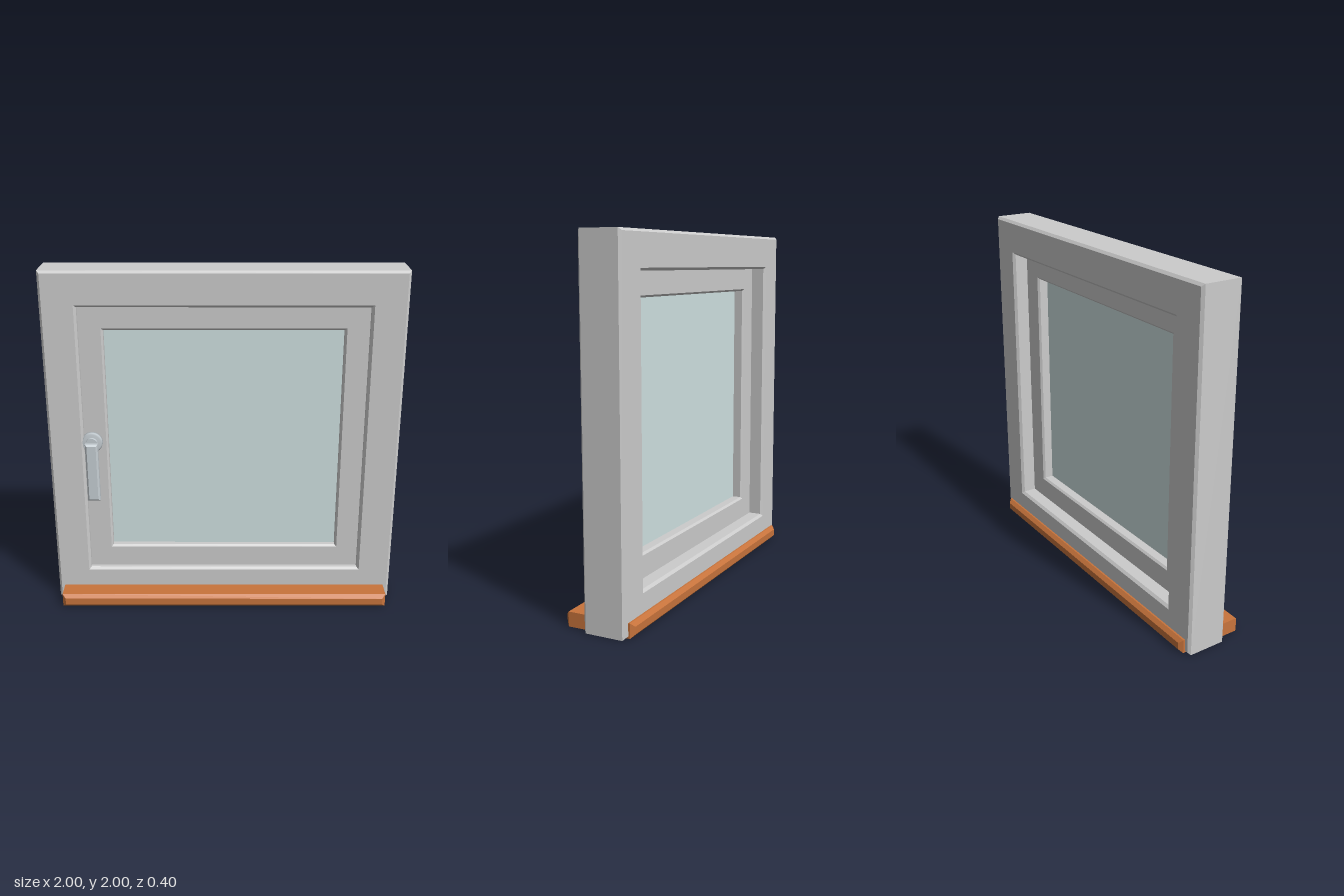
import * as THREE from 'three';

const grey = new THREE.MeshStandardMaterial({ color: 0xcccccc });
const glassMat = new THREE.MeshStandardMaterial({ color: 0xd0e2e2 });
const metal = new THREE.MeshStandardMaterial({ color: 0xc6ced3 });
const wood = new THREE.MeshStandardMaterial({ color: 0xc8743c });

// Rectangle outline centred on x = 0
function rect(Type, halfW, y0, y1) {
  return new Type([[-halfW, y0], [halfW, y0], [halfW, y1], [-halfW, y1]]
    .map(([x, y]) => new THREE.Vector2(x, y)));
}

// Panel from z0 to z1 with chamfered front and back edges, inside its outline
function panel(name, material, shape, z0, z1, bevel) {
  const geometry = new THREE.ExtrudeGeometry(shape, {
    depth: z1 - z0 - 2 * bevel,
    bevelEnabled: bevel > 0,
    bevelThickness: bevel,
    bevelSize: bevel,
    bevelOffset: -bevel,
    bevelSegments: 1,
  });
  geometry.translate(0, 0, z0 + bevel);
  const mesh = new THREE.Mesh(geometry, material);
  mesh.name = name;
  return mesh;
}

export function createModel() {
  const model = new THREE.Group();
  model.name = 'window';

  // Outer frame
  const frame = rect(THREE.Shape, 1, 0, 2);
  frame.holes.push(rect(THREE.Path, 0.8, 0.2, 1.8));
  model.add(panel('outerFrame', grey, frame, -0.17, 0.07, 0.014));

  // Sash, recessed in the frame, its rim let into the frame
  const sash = rect(THREE.Shape, 0.82, 0.18, 1.82);
  sash.holes.push(rect(THREE.Path, 0.665, 0.335, 1.665));
  model.add(panel('sash', grey, sash, -0.08, 0.035, 0.011));

  // Glass pane
  model.add(panel('glass', glassMat, rect(THREE.Shape, 0.675, 0.325, 1.675), -0.018, -0.005, 0));

  // Sill running through under the frame
  model.add(panel('sill', wood, rect(THREE.Shape, 0.965, 0.002, 0.082), -0.2, 0.2, 0.02));

  // Handle: round rosette and hanging lever
  const handle = new THREE.Group();
  handle.name = 'handle';
  handle.position.set(-0.755, 1.008, 0);
  const profile = [[0, 0.02], [0.06, 0.02], [0.06, 0.056], [0.052, 0.064], [0, 0.064]]
    .map(([r, z]) => new THREE.Vector2(r, z));
  const rosetteGeometry = new THREE.LatheGeometry(profile, 32).rotateX(Math.PI / 2);
  const rosette = new THREE.Mesh(rosetteGeometry, metal);
  rosette.name = 'rosette';
  const neck = new THREE.Mesh(new THREE.CylinderGeometry(0.034, 0.034, 0.03, 32).rotateX(Math.PI / 2), metal);
  neck.name = 'neck';
  neck.position.z = 0.065;
  const lever = panel('lever', metal, rect(THREE.Shape, 0.036, -0.345, 0.005), 0.062, 0.107, 0.01);
  handle.add(rosette, neck, lever);
  model.add(handle);

  return model;
}
